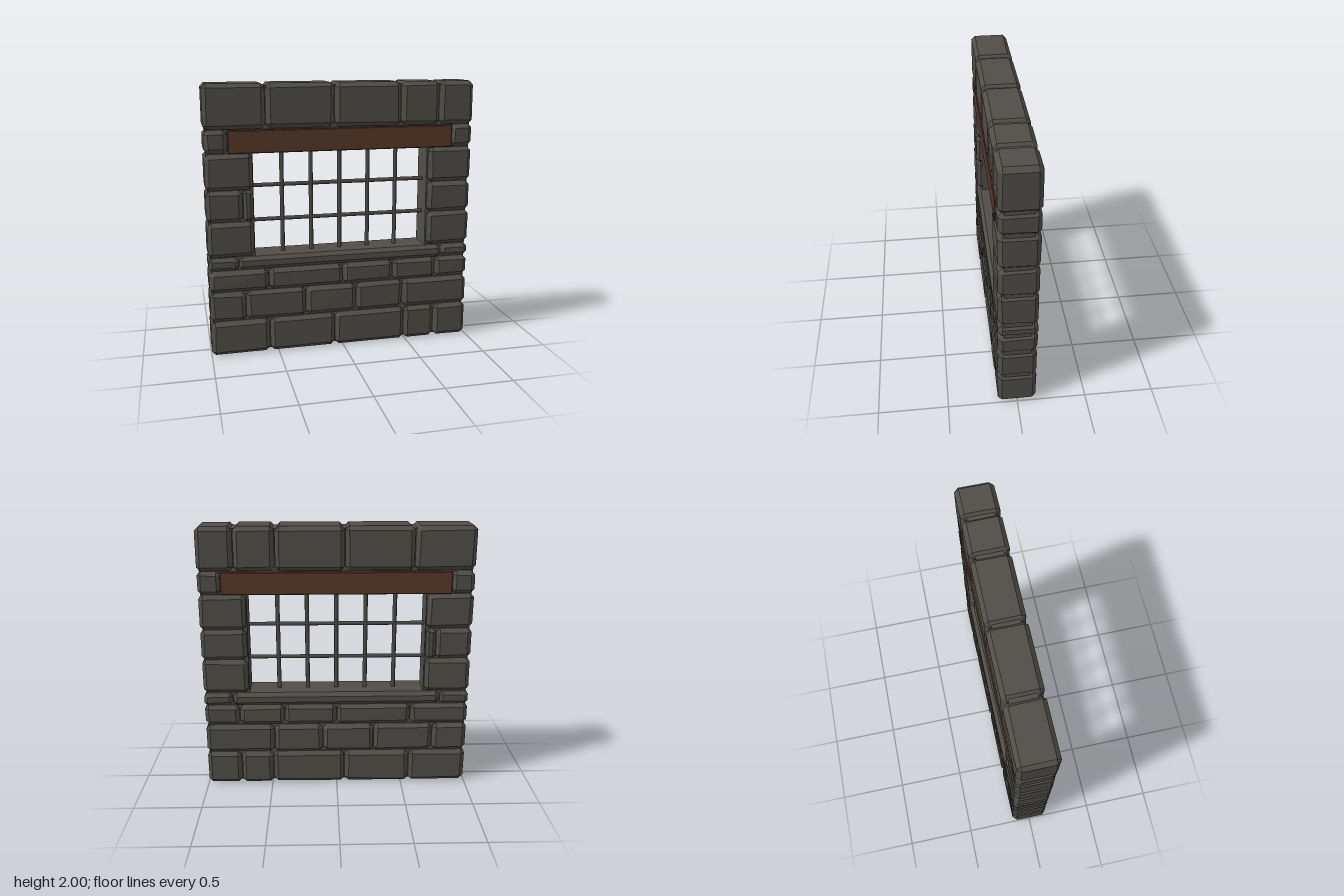
import * as THREE from 'three';
import { ConvexGeometry } from 'three/addons/geometries/ConvexGeometry.js';

const material = (name, color) => {
  const m = new THREE.MeshStandardMaterial({ color });
  m.name = name;
  return m;
};

export function createModel() {
  const wall = new THREE.Group();
  wall.name = 'barredWindowWall';
  const stone = material('stone', 0x514e48);
  const mortar = material('mortar', 0x524f4a);
  const wood = material('wood', 0x57382a);
  const iron = material('iron', 0x4b4a47);

  const add = (name, geometry, mat, x = 0, y = 0, z = 0) => {
    const mesh = new THREE.Mesh(geometry, mat);
    mesh.name = name;
    mesh.position.set(x, y, z);
    wall.add(mesh);
    return mesh;
  };

  // Small seeded variation for the hewn faces
  let seed = 7;
  const vary = (amount) => {
    seed = (seed * 16807) % 2147483647;
    return (seed / 2147483647 - 0.5) * 2 * amount;
  };

  // Box with bevelled edges: each corner becomes three points
  const bevelled = (w, h, d, c, wobble = 0) => {
    const points = [];
    for (const sx of [-1, 1]) for (const sy of [-1, 1]) for (const sz of [-1, 1]) {
      const x = w / 2, y = h / 2, z = d / 2 - Math.abs(vary(wobble));
      const e = c + vary(wobble);
      points.push(
        new THREE.Vector3(sx * x, sy * (y - e), sz * (z - e)),
        new THREE.Vector3(sx * (x - e), sy * y, sz * (z - e)),
        new THREE.Vector3(sx * (x - e), sy * (y - e), sz * z));
    }
    return new ConvexGeometry(points);
  };

  // Stone courses: bottom, top, then left and right ends of each stone
  const full = (...cuts) => cuts.slice(1).map((x, i) => [cuts[i], x]);
  const courses = [
    [0, 0.262, full(-1, -0.56, -0.06, 0.49, 0.735, 1)],
    [0.262, 0.488, full(-1, -0.735, -0.285, 0.105, 0.475, 1)],
    [0.488, 0.652, full(-1, -0.56, 0, 0.395, 0.735, 1)],
    [0.652, 0.752, full(-1, -0.78, 0.78, 1)],
    [0.755, 1.015, [[-1, -0.658], [0.658, 1]]],
    [1.015, 1.247, [[-1, -0.735], [-0.735, -0.658], [0.658, 1]]],
    [1.247, 1.51, [[-1, -0.658], [0.658, 1]]],
    [1.51, 1.68, [[-1, -0.83], [0.83, 1]]],
    [1.68, 2, full(-1, -0.56, -0.06, 0.44, 0.735, 1)],
  ];
  for (const [y0, y1, spans] of courses) {
    for (const [x0, x1] of spans) {
      const w = x1 - x0 - 0.004, h = y1 - y0 - 0.003;
      const bevel = Math.min(0.03, w * 0.3, h * 0.27);
      add('stone', bevelled(w, h, 0.28, bevel, 0.004), stone, (x0 + x1) / 2, (y0 + y1) / 2);
    }
  }

  // Mortar core with the window opening
  const outline = new THREE.Shape();
  outline.moveTo(-0.983, 0.015).lineTo(0.983, 0.015).lineTo(0.983, 1.98).lineTo(-0.983, 1.98).closePath();
  const opening = new THREE.Path();
  opening.moveTo(-0.655, 0.75).lineTo(-0.655, 1.535).lineTo(0.655, 1.535).lineTo(0.655, 0.75).closePath();
  outline.holes.push(opening);
  const core = new THREE.ExtrudeGeometry(outline, { depth: 0.19, bevelEnabled: false });
  add('mortarCore', core, mortar, 0, 0, -0.095);

  // Wooden lintel boards with nails on both faces
  for (const side of [-1, 1]) {
    add('lintelBoard', bevelled(1.664, 0.165, 0.05, 0.006), wood, 0, 1.594, side * 0.116);
    for (const x of [-0.705, 0.705]) {
      const nail = add('nail', new THREE.CylinderGeometry(0.006, 0.006, 0.004, 6), iron, x, 1.595, side * 0.141);
      nail.rotation.x = Math.PI / 2;
    }
  }

  // Iron grille
  for (let i = -2; i <= 2; i++) {
    add('verticalBar', new THREE.CylinderGeometry(0.016, 0.016, 0.82, 8), iron, i * 0.218, 1.15, 0);
  }
  for (const y of [1.0, 1.258]) {
    const bar = add('crossBar', new THREE.CylinderGeometry(0.015, 0.015, 1.32, 8), iron, 0, y, 0);
    bar.rotation.z = Math.PI / 2;
  }
  return wall;
}
